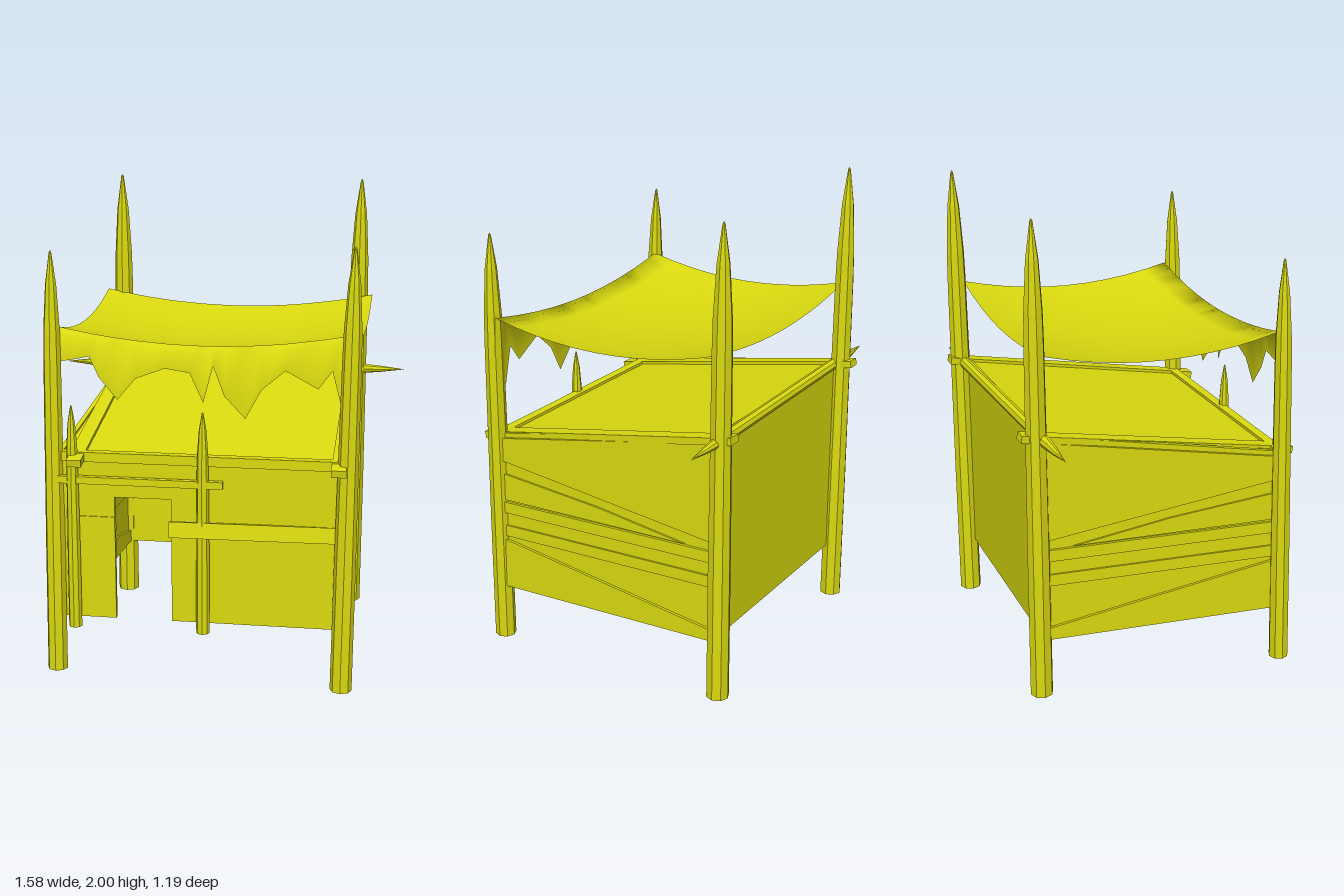
import * as THREE from 'three';

const yellow = new THREE.MeshStandardMaterial({ color: 0xdada10, side: THREE.DoubleSide });
yellow.name = 'yellow wood and cloth';

export function createModel() {
  const model = new THREE.Group();

  const add = (name, geometry) => {
    const mesh = new THREE.Mesh(geometry, yellow);
    mesh.name = name;
    model.add(mesh);
    return mesh;
  };

  // Faceted pole between two points; profile holds [radius factor, length fraction]
  const STAKE = [[0, 0], [1, 0], [0.98, 0.3], [0.86, 0.75], [0.8, 0.82], [0.55, 0.92], [0.12, 0.995], [0, 1]];
  const SPINDLE = [[0, 0], [0.6, 0.07], [1, 0.14], [1, 0.86], [0.6, 0.93], [0, 1]];
  const pole = (name, from, to, radius, profile = STAKE) => {
    const a = new THREE.Vector3(...from), dir = new THREE.Vector3(...to).sub(a);
    const points = profile.map(([r, t]) => new THREE.Vector2(r * radius, t * dir.length()));
    const geometry = new THREE.LatheGeometry(points, 8).toNonIndexed();
    geometry.computeVertexNormals();
    const mesh = add(name, geometry);
    mesh.position.copy(a);
    mesh.quaternion.setFromUnitVectors(new THREE.Vector3(0, 1, 0), dir.normalize());
  };

  const box = (name, size, position, rotation = [0, 0, 0]) => {
    const mesh = add(name, new THREE.BoxGeometry(...size));
    mesh.position.set(...position);
    mesh.rotation.set(...rotation);
  };

  // Upright board from plan point a to b; outline holds [fraction along, height]
  const panel = (name, a, b, outline, thickness) => {
    const dx = b[0] - a[0], dz = b[1] - a[1], length = Math.hypot(dx, dz);
    const shape = new THREE.Shape(outline.map(([s, y]) => new THREE.Vector2(s * length, y)));
    const geometry = new THREE.ExtrudeGeometry(shape, { depth: thickness, bevelEnabled: false });
    geometry.translate(0, 0, -thickness / 2);
    const mesh = add(name, geometry);
    mesh.position.set(a[0], 0, a[1]);
    mesh.rotation.y = -Math.atan2(dz, dx);
  };

  // Corner posts
  pole('frontRightPost', [-0.602, 0.02, 0.525], [-0.6, 1.78, 0.485], 0.042);
  pole('frontLeftPost', [0.59, 0, 0.535], [0.612, 1.82, 0.51], 0.045);
  pole('backRightPost', [-0.515, 0, -0.52], [-0.52, 2, -0.53], 0.048);
  pole('backLeftPost', [0.56, 0, -0.53], [0.575, 1.99, -0.545], 0.048);

  // Short front stakes and the bar tied across them
  pole('frontStake', [-0.52, 0.215, 0.53], [-0.52, 1.16, 0.525], 0.028);
  pole('frontStake', [0.018, 0.215, 0.53], [0.018, 1.15, 0.525], 0.028);
  box('frontBar', [0.68, 0.03, 0.025], [-0.24, 0.85, 0.53]);

  // Long cross beam at the back
  pole('backBeam', [-0.79, 1.125, -0.495], [0.79, 1.125, -0.535], 0.024, SPINDLE);

  // Walls, with a doorway cut from the front one
  const FR = [-0.575, 0.5], FL = [0.595, 0.5], BR = [-0.515, -0.5], BL = [0.555, -0.5];
  const along = x => (x - FR[0]) / (FL[0] - FR[0]);
  panel('frontWall', FR, FL, [
    [0, 0.25], [along(-0.35), 0.25], [along(-0.35), 0.775], [along(-0.115), 0.775],
    [along(-0.115), 0.25], [1, 0.25], [1, 0.96], [0, 0.96]], 0.02);
  panel('backWall', BR, BL, [[0, 0.25], [1, 0.25], [1, 1.13], [0, 1.13]], 0.02);

  // Side walls with uneven overlapping planks
  const planks = [
    [[0, 0.25], [1, 0.25], [1, 0.3], [0, 0.475]],
    [[0, 0.49], [1, 0.49], [1, 0.54], [0, 0.54]],
    [[0, 0.6], [1, 0.6], [1, 0.65], [0, 0.65]],
    [[0, 0.66], [0.88, 0.655], [0.47, 0.725], [0, 0.78]],
    [[0, 0.84], [1, 0.69], [1, 1.11], [0, 0.94]],
  ];
  for (const [a, b] of [[FR, BR], [FL, BL]]) {
    panel('sideWall', a, b, [[0, 0.25], [1, 0.25], [1, 1.135], [0, 0.96]], 0.02);
    planks.forEach((outline, i) => panel('sidePlank', a, b, outline, i % 2 ? 0.036 : 0.044));
  }

  // Boards across the front wall
  box('lintelBoard', [1.16, 0.04, 0.04], [0.015, 0.945, 0.508]);
  box('frontPlank', [0.2, 0.065, 0.03], [-0.45, 0.6575, 0.5]);
  box('loosePlank', [0.68, 0.065, 0.025], [0.222, 0.6575, 0.532], [-0.2, 0.06, 0]);

  // Sloping roof and the rails lying on it
  const SLOPE = 0.173;
  const roofShape = new THREE.Shape([FR, FL, BL, BR].map(([x, z]) => new THREE.Vector2(x, -z * 1.015)));
  const roof = add('roof', new THREE.ExtrudeGeometry(roofShape, { depth: 0.02, bevelEnabled: false }));
  roof.rotation.x = -Math.PI / 2 + SLOPE;
  roof.position.y = 1.018;
  box('roofRail', [0.06, 0.03, 1.2], [-0.505, 1.036, 0], [SLOPE, 0.01, 0]);
  box('roofRail', [0.06, 0.03, 1.2], [0.562, 1.036, 0], [SLOPE, 0.01, 0]);

  // Sagging cloth canopy; its last row is the torn front hem [x, y]
  const hem = [
    [-0.585, 1.33], [-0.52, 1.34], [-0.45, 1.355], [-0.41, 1.27], [-0.335, 1.18], [-0.26, 1.27],
    [-0.14, 1.315], [-0.04, 1.3], [0.015, 1.18], [0.055, 1.33], [0.1, 1.21], [0.185, 1.12],
    [0.25, 1.24], [0.345, 1.32], [0.475, 1.25], [0.53, 1.325], [0.57, 1.17], [0.635, 1.25]];
  const rows = 10, cols = hem.length, vertices = [], faces = [];
  for (let r = 0; r <= rows + 1; r++) {
    const v = Math.min(r / rows, 1) * 2 - 1;
    for (const [x, hemY] of hem) {
      const u = (x - 0.025) / 0.61;
      vertices.push(x, r > rows ? hemY : 1.345 + 0.065 * (u * u + v * v), r > rows ? 0.492 : -0.005 + 0.49 * v);
    }
  }
  for (let r = 0; r <= rows; r++) {
    for (let c = 0; c < cols - 1; c++) {
      const i = r * cols + c, j = i + cols;
      faces.push(i, j, i + 1, i + 1, j, j + 1);
    }
  }
  const cloth = new THREE.BufferGeometry();
  cloth.setAttribute('position', new THREE.Float32BufferAttribute(vertices, 3));
  cloth.setIndex(faces);
  cloth.computeVertexNormals();
  add('canopy', cloth);

  return model;
}
